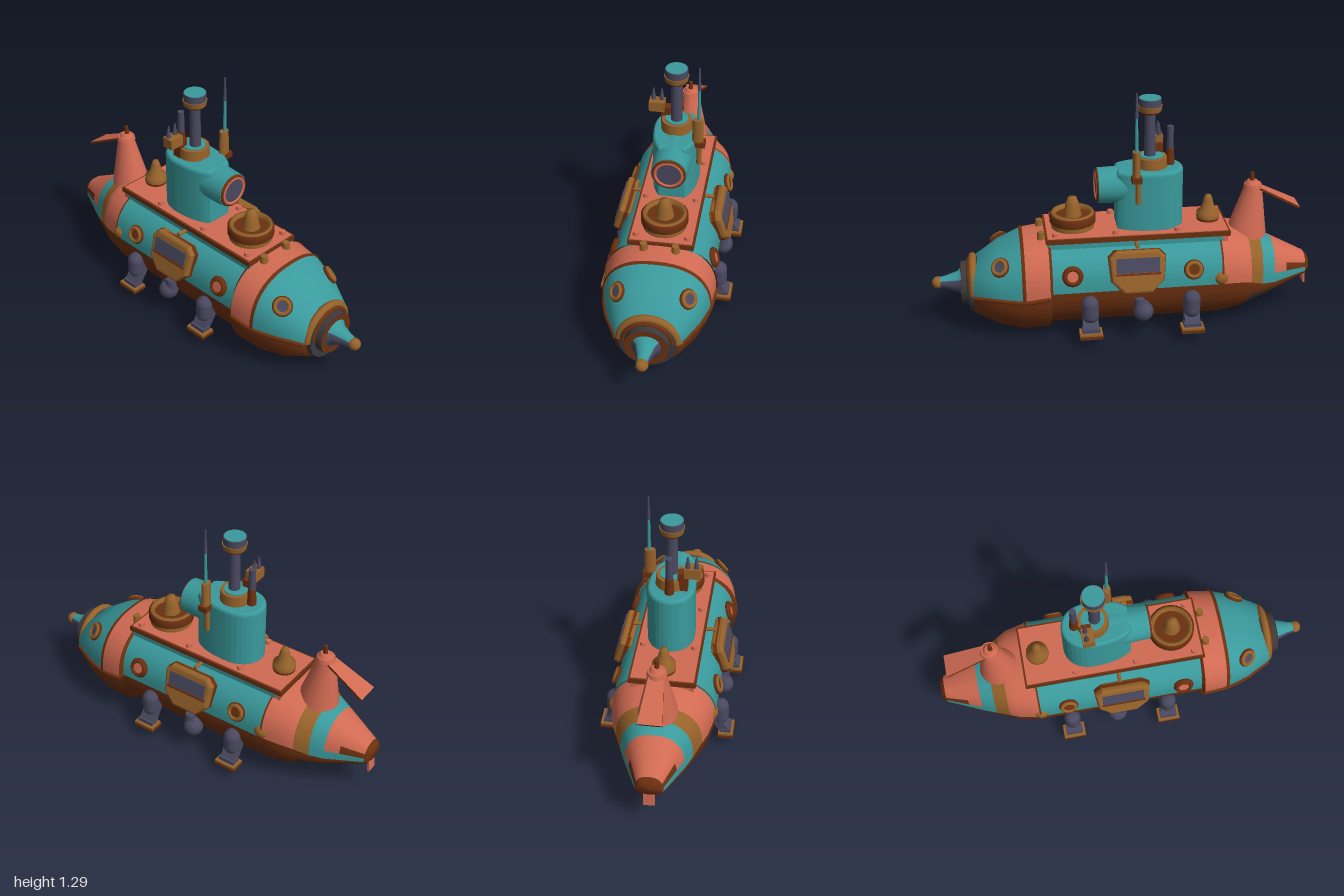
import * as THREE from 'three';

const mat = (name, color, side = THREE.FrontSide) => {
  const m = new THREE.MeshStandardMaterial({ color, side });
  m.name = name;
  return m;
};

export function createModel() {
  const root = new THREE.Group();
  root.name = 'submarine';
  const teal = mat('teal paint', 0x3a9a9c), coral = mat('coral paint', 0xd06a52);
  const brown = mat('rust brown', 0x6c300f, THREE.DoubleSide), bronze = mat('bronze', 0x96622a);
  const slate = mat('slate metal', 0x4a485f), dark = mat('dark grey', 0x3a3a3c);

  const add = (name, geo, m, x = 0, y = 0, z = 0, parent = root) => {
    const mesh = new THREE.Mesh(geo, m);
    mesh.name = name;
    mesh.position.set(x, y, z);
    parent.add(mesh);
    return mesh;
  };
  const cyl = (name, m, rt, rb, h, x, y, z, axis = 'y', parent = root) => {
    const g = new THREE.CylinderGeometry(rt, rb, h, 24);
    if (axis === 'z') g.rotateX(Math.PI / 2);
    if (axis === 'x') g.rotateZ(-Math.PI / 2);
    return add(name, g, m, x, y, z, parent);
  };
  const box = (name, m, w, h, d, x, y, z, parent = root) => add(name, new THREE.BoxGeometry(w, h, d), m, x, y, z, parent);
  const lathe = (name, m, pts, x, y, z) =>
    add(name, new THREE.LatheGeometry(pts.map(p => new THREE.Vector2(...p)), 28), m, x, y, z);
  const group = (name, x, y, z) => {
    const g = new THREE.Group();
    g.name = name;
    g.position.set(x, y, z);
    root.add(g);
    return g;
  };

  // Hull stations: z, bottom, top, half width, chine height
  const stations = [
    [0.80, 0.23, 0.25, 0.01, 0.24], [0.785, 0.10, 0.37, 0.165, 0.24], [0.65, 0.03, 0.46, 0.235, 0.25],
    [0.53, 0.005, 0.515, 0.27, 0.25], [0.40, 0.01, 0.53, 0.285, 0.27], [0.385, 0.035, 0.52, 0.262, 0.285],
    [-0.49, 0.035, 0.52, 0.262, 0.29], [-0.60, 0.055, 0.50, 0.24, 0.28], [-0.66, 0.075, 0.475, 0.21, 0.26],
    [-0.72, 0.10, 0.45, 0.18, 0.235], [-0.79, 0.13, 0.42, 0.15, 0.225], [-0.975, 0.21, 0.325, 0.07, 0.24],
    [-0.995, 0.23, 0.305, 0.055, 0.26], [-1.0, 0.27, 0.275, 0.003, 0.272],
  ];
  const section = z => {
    let i = 0;
    while (i < stations.length - 2 && stations[i + 1][0] > z) i++;
    const a = stations[i], b = stations[i + 1], t = (a[0] - z) / (a[0] - b[0]);
    return a.map((v, k) => v + (b[k] - v) * t);
  };
  // Skin between two z values and two angles (0 = left chine, PI/2 = top), grown outward by d
  const skin = (name, m, z0, z1, a0, a1, d = 0) => {
    const zs = [z0, ...stations.map(s => s[0]).filter(z => z < z0 - 1e-4 && z > z1 + 1e-4), z1];
    const n = 28, pos = [], idx = [];
    zs.forEach((z, i) => {
      const [, bot, top, hw, ch] = section(z);
      for (let j = 0; j <= n; j++) {
        const t = a0 + (a1 - a0) * j / n, c = Math.cos(t), s = Math.sin(t), p = s > 0 ? 0.82 : 0.95;
        pos.push((hw + d) * Math.sign(c) * Math.abs(c) ** p,
          ch + ((s > 0 ? top - ch : ch - bot) + d) * Math.sign(s) * Math.abs(s) ** p, z);
        if (i && j) {
          const e = i * (n + 1) + j, f = e - n - 1;
          idx.push(f - 1, e - 1, f, f, e - 1, e);
        }
      }
    });
    const g = new THREE.BufferGeometry();
    g.setAttribute('position', new THREE.Float32BufferAttribute(pos, 3));
    g.setIndex(idx);
    g.computeVertexNormals();
    return add(name, g, m);
  };
  const PI = Math.PI;

  // Upper hull in painted bands
  [['bowPanel', teal, 0.80, 0.53], ['bowCollar', coral, 0.53, 0.39], ['midPanel', teal, 0.39, -0.49],
    ['sternCollar', coral, -0.49, -0.65], ['bronzeBand', bronze, -0.65, -0.72], ['tealBand', teal, -0.72, -0.79]]
    .forEach(([n, m, a, b]) => skin(n, m, a, b, 0, PI));
  skin('tailTop', coral, -0.79, -0.86, 0.2, PI - 0.2);
  skin('tailTop', coral, -0.86, -0.975, 0.5, PI - 0.5);
  for (const [a, b] of [[0, 0.2], [PI, PI - 0.2]]) {
    skin('tailStripe', teal, -0.79, -0.975, Math.min(a, b), Math.max(a, b));
    const c = a ? PI - 0.5 : 0.2;
    skin('tailCorner', brown, -0.86, -0.975, c, c + 0.3);
  }
  skin('tailCap', brown, -0.975, -1, 0, PI * 2);
  // Lower hull
  skin('keelHull', brown, 0.80, -0.65, PI, PI * 2);
  for (const a of [PI, PI * 2 - 0.4]) skin('tailChine', brown, -0.65, -0.975, a, a + 0.4);
  skin('tailUnderside', dark, -0.65, -0.975, PI + 0.4, PI * 2 - 0.4);
  // Raised seams
  [[0.54, 0.522], [0.40, 0.386], [-0.484, -0.493]].forEach(([a, b]) => skin('hullSeam', brown, a, b, 0, PI, 0.007));
  for (const s of [1, -1]) {
    const pts = [0.785, 0.72, 0.65, 0.53, 0.4].map(z => { const q = section(z); return new THREE.Vector3(s * q[3], q[4], z); });
    add('bowRail', new THREE.TubeGeometry(new THREE.CatmullRomCurve3(pts), 20, 0.011, 8), brown);
  }

  // Nose: rings, drill cone and tip
  add('noseArch', new THREE.TorusGeometry(0.142, 0.02, 10, 32, PI), bronze, 0, 0.245, 0.785);
  cyl('noseFlange', dark, 0.14, 0.15, 0.05, 0, 0.24, 0.785, 'z');
  add('noseCollar', new THREE.TorusGeometry(0.122, 0.012, 8, 32, PI), brown, 0, 0.25, 0.806);
  cyl('noseDisc', dark, 0.11, 0.115, 0.045, 0, 0.255, 0.825, 'z');
  add('noseRing', new THREE.RingGeometry(0.078, 0.109, 32), brown, 0, 0.255, 0.849);
  const cone = [[0.075, 0], [0.055, 0.02], [0.035, 0.08], [0.025, 0.13]].map(p => new THREE.Vector2(...p));
  [['coneTop', teal, PI * 0.67, PI * 0.66], ['coneUnder', slate, -PI * 0.67, PI * 1.34]].forEach(([n, m, start, len]) =>
    add(n, new THREE.LatheGeometry(cone, 24, start, len).rotateX(PI / 2), m, 0, 0.26, 0.845));
  add('noseTip', new THREE.SphereGeometry(0.032, 16, 12), bronze, 0, 0.26, 0.968);

  // Deck and its hatches
  box('deckSide', teal, 0.322, 0.06, 0.91, 0, 0.49, -0.05);
  box('deckEdge', brown, 0.335, 0.026, 0.95, 0, 0.53, -0.065);
  box('deck', coral, 0.315, 0.07, 0.93, 0, 0.512, -0.065);
  lathe('frontHatch', bronze, [[0.112, 0], [0.112, 0.075], [0.108, 0.088], [0.092, 0.088], [0.088, 0.06]], 0, 0.54, 0.26);
  lathe('hatchKnob', bronze, [[0.05, 0.06], [0.045, 0.075], [0.035, 0.13], [0.022, 0.165], [0, 0.17]], 0, 0.54, 0.26);
  cyl('hatchWell', brown, 0.09, 0.09, 0.07, 0, 0.572, 0.26);
  lathe('hatchBand', brown, [[0.111, 0.03], [0.12, 0.036], [0.12, 0.074], [0.111, 0.08]], 0, 0.54, 0.26);
  lathe('rearHatch', bronze, [[0.06, 0.02], [0.058, 0.05], [0.035, 0.07], [0.024, 0.115], [0.015, 0.14], [0, 0.142]], 0, 0.54, -0.45);
  cyl('rearHatchBase', brown, 0.058, 0.058, 0.03, 0, 0.555, -0.45);
  for (const s of [1, -1]) {
    cyl('deckStud', bronze, 0.018, 0.022, 0.04, s * 0.08, 0.535, 0.43);
    for (const z of [0.36, 0.05, -0.27]) cyl('deckBolt', coral, 0.015, 0.018, 0.025, s * 0.13, 0.553, z);
  }

  // Conning tower with forward porthole
  const plan = new THREE.Shape();
  plan.moveTo(0.06, -0.02);
  plan.bezierCurveTo(0.095, 0.02, 0.105, 0.1, 0.105, 0.17);
  plan.bezierCurveTo(0.105, 0.34, -0.105, 0.34, -0.105, 0.17);
  plan.bezierCurveTo(-0.105, 0.1, -0.095, 0.02, -0.06, -0.02);
  plan.closePath();
  add('tower', new THREE.ExtrudeGeometry(plan, { depth: 0.29, bevelSize: 0.015, bevelThickness: 0.02, bevelSegments: 4, curveSegments: 16 })
    .rotateX(-PI / 2), teal, 0, 0.55, 0);
  cyl('portTube', teal, 0.092, 0.1, 0.2, 0, 0.765, 0.03, 'z');
  add('portFrame', new THREE.TorusGeometry(0.077, 0.011, 10, 28), brown, 0, 0.765, 0.13);
  add('portInnerRing', new THREE.TorusGeometry(0.07, 0.009, 8, 28), coral, 0, 0.765, 0.135);
  cyl('portGlass', slate, 0.066, 0.066, 0.008, 0, 0.765, 0.133, 'z');

  // Periscope
  cyl('towerRing', bronze, 0.078, 0.082, 0.06, 0, 0.885, -0.15);
  cyl('towerLid', teal, 0.06, 0.06, 0.008, 0, 0.916, -0.15);
  cyl('periscopeTube', slate, 0.027, 0.03, 0.28, 0, 1.03, -0.14);
  cyl('periscopeRing', bronze, 0.063, 0.058, 0.028, 0, 1.172, -0.14);
  cyl('periscopeCollar', brown, 0.057, 0.05, 0.012, 0, 1.154, -0.14);
  cyl('periscopeHead', slate, 0.058, 0.058, 0.042, 0, 1.202, -0.14);
  cyl('periscopeCap', teal, 0.055, 0.055, 0.006, 0, 1.223, -0.14);
  cyl('exhaustPipe', slate, 0.017, 0.018, 0.12, 0, 1.01, -0.245);
  cyl('exhaustBase', brown, 0.02, 0.024, 0.09, 0, 0.91, -0.245);

  // Antenna and signal bracket
  cyl('antennaBase', bronze, 0.028, 0.03, 0.15, 0.122, 0.91, -0.055).scale.z = 0.68;
  box('antennaBracket', brown, 0.05, 0.03, 0.05, 0.135, 0.84, -0.055);
  cyl('antennaPipe', bronze, 0.014, 0.014, 0.13, 0.128, 0.77, -0.065);
  cyl('antennaRod', teal, 0.007, 0.009, 0.19, 0.127, 1.07, -0.055);
  cyl('antennaTip', slate, 0.004, 0.009, 0.13, 0.127, 1.227, -0.055);
  box('signalArm', brown, 0.05, 0.1, 0.05, -0.06, 0.91, -0.19);
  box('signalBox', bronze, 0.08, 0.055, 0.06, -0.108, 0.965, -0.19);
  for (const x of [-0.128, -0.085]) cyl('signalSpike', slate, 0.004, 0.014, 0.07, x, 1.02, -0.2);

  // Tail fin, stabiliser and rudder
  const fin = add('tailFin', new THREE.CylinderGeometry(0.042, 0.1, 0.27, 20), coral, 0, 0.585, -0.655);
  const fp = fin.geometry.attributes.position;
  for (let i = 0; i < fp.count; i++) fp.setZ(i, fp.getZ(i) * 1.1 - 0.12 * (fp.getY(i) + 0.135));
  fin.geometry.computeVertexNormals();
  cyl('finCap', coral, 0.045, 0.05, 0.02, 0, 0.725, -0.685);
  cyl('finDome', coral, 0.025, 0.04, 0.02, 0, 0.743, -0.682);
  cyl('finSpike', brown, 0.01, 0.014, 0.06, 0, 0.765, -0.68);
  const plate = new THREE.Shape([[-0.035, 0], [0.035, 0], [0.06, 0.25], [-0.06, 0.25]].map(p => new THREE.Vector2(...p)));
  const stab = add('stabiliser', new THREE.ExtrudeGeometry(plate, { depth: 0.012, bevelEnabled: false }).rotateX(-PI / 2),
    [coral, brown], 0, 0.715, -0.70);
  stab.rotation.x = -0.47;
  box('rudder', coral, 0.055, 0.11, 0.01, 0, 0.205, -0.98).rotation.x = 0.08;

  // Parts repeated on both flanks
  const outline = [[-0.11, 0.1], [-0.14, 0.07], [-0.13, -0.05], [-0.07, -0.11], [0.07, -0.11], [0.13, -0.05], [0.14, 0.07], [0.11, 0.1]];
  const door = k => new THREE.Shape(outline.map(([u, v]) => new THREE.Vector2(u * k, v * k)));
  for (const s of [1, -1]) {
    const porthole = (name, m, glass, x, y, z, r, yaw, tilt) => {
      const g = group(name, s * x, y, z);
      g.rotation.set(-tilt, s * yaw, 0, 'YXZ');
      add(name + 'Rim', new THREE.TorusGeometry(r + 0.006, 0.01, 8, 24), brown, 0, 0, 0.002, g);
      add(name + 'Frame', new THREE.TorusGeometry(r, 0.011, 8, 24), m, 0, 0, 0.009, g);
      cyl(name + 'Glass', glass, r, r, 0.02, 0, 0, 0.002, 'z', g);
    };
    porthole('bowPorthole', bronze, slate, 0.175, 0.411, 0.645, 0.036, 0.95, 0.58);
    porthole('frontPorthole', brown, coral, 0.255, 0.378, 0.285, 0.038, PI / 2, 0.3);
    porthole('rearPorthole', bronze, brown, 0.255, 0.38, -0.335, 0.036, PI / 2, 0.3);
    add('flankKnob', new THREE.SphereGeometry(0.042, 16, 12), bronze, s * 0.235, 0.32, -0.48);

    // Side door with window, leaning in at the top
    const hatch = group('sideDoor', s * 0.24, 0.39, -0.045);
    hatch.rotation.z = s * 0.28;
    add('doorPanel', new THREE.ExtrudeGeometry(door(0.93), { depth: 0.036, bevelSize: 0.013, bevelThickness: 0.014, bevelSegments: 2 })
      .rotateY(s * PI / 2), bronze, 0, 0, 0, hatch);
    add('doorRim', new THREE.ExtrudeGeometry(door(1.06), { depth: 0.02, bevelEnabled: false })
      .rotateY(s * PI / 2), brown, 0, 0, 0, hatch);
    box('doorWindow', slate, 0.008, 0.075, 0.22, s * 0.051, 0.03, 0, hatch);
    box('doorSill', brown, 0.012, 0.01, 0.23, s * 0.05, -0.015, 0, hatch);
    cyl('doorPipe', bronze, 0.01, 0.01, 0.06, s * 0.185, 0.505, -0.05, 'x');

    // Landing legs
    for (const z of [0.2, -0.325]) {
      add('legHousing', new THREE.CapsuleGeometry(0.044, 0.06, 6, 14), slate, s * 0.275, 0.195, z);
      const leg = box('leg', slate, 0.045, 0.15, 0.08, s * 0.275, 0.13, z);
      leg.rotation.z = s * 0.6;
      box('ankle', slate, 0.05, 0.03, 0.09, s * 0.305, 0.09, z);
      box('foot', bronze, 0.076, 0.012, 0.116, s * 0.308, 0.08, z);
      box('footRim', brown, 0.08, 0.014, 0.12, s * 0.308, 0.068, z);
      box('footSole', dark, 0.074, 0.008, 0.112, s * 0.308, 0.06, z);
    }
    // Side thruster
    cyl('thrusterMount', slate, 0.03, 0.04, 0.1, s * 0.235, 0.19, -0.075, 'x');
    add('thruster', new THREE.SphereGeometry(0.052, 16, 12), slate, s * 0.268, 0.165, -0.075);
    cyl('thrusterNozzle', slate, 0.025, 0.03, 0.06, s * 0.268, 0.21, -0.055);
  }
  return root;
}
